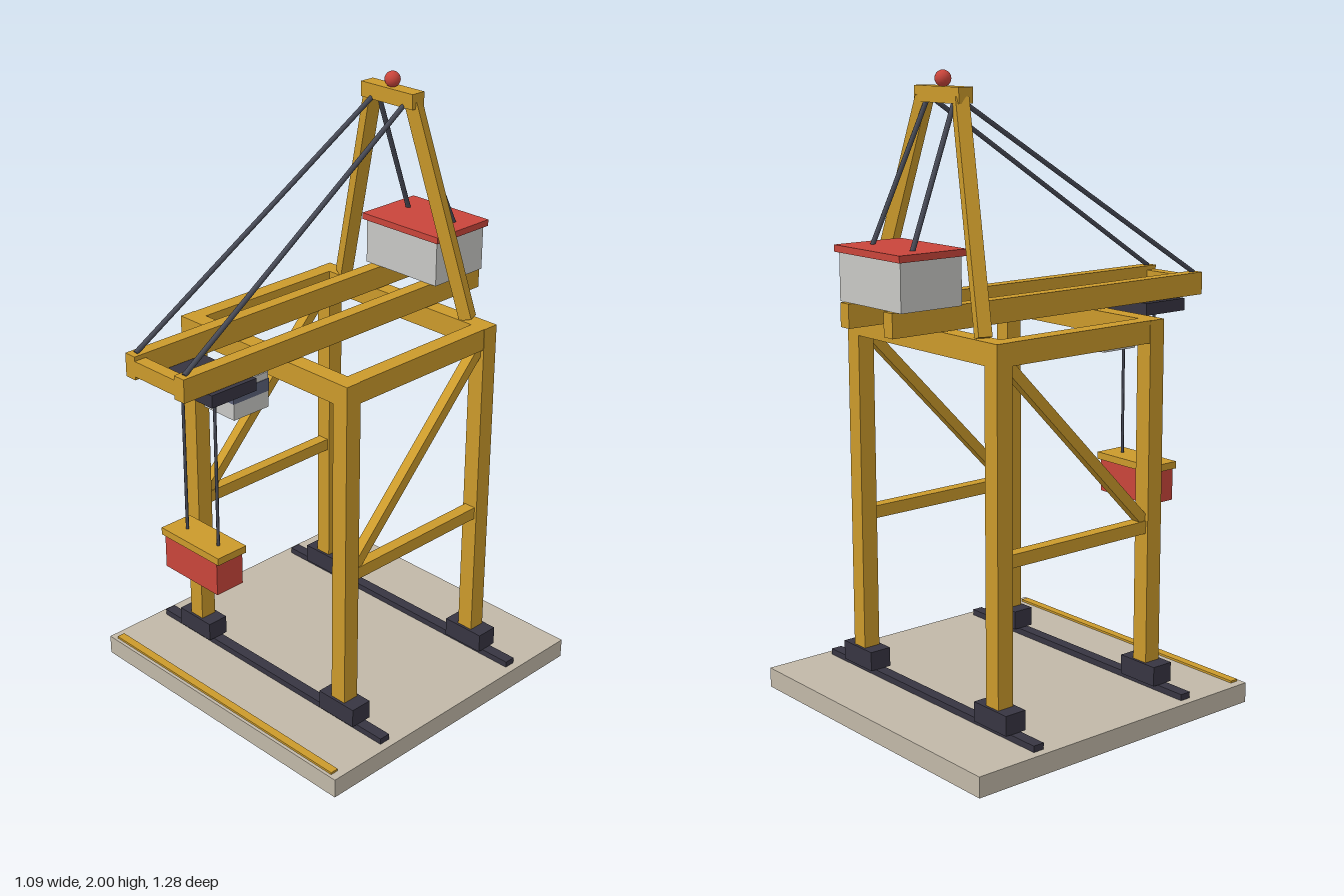
import * as THREE from 'three';

const mat = (name, color) => {
  const m = new THREE.MeshStandardMaterial({ color });
  m.name = name;
  return m;
};

export function createModel() {
  const yellow = mat('craneYellow', 0xcb9a2b);
  const red = mat('red', 0xc9453b);
  const dark = mat('darkSteel', 0x373542);
  const cable = mat('cableGrey', 0x484b57);
  const grey = mat('lightGrey', 0xc8c8c5);
  const glass = mat('windowBlue', 0x5b6078);
  const concrete = mat('concrete', 0xc1b8a8);

  const crane = new THREE.Group();
  crane.name = 'gantryCrane';

  const add = (name, geometry, material) => {
    const mesh = new THREE.Mesh(geometry, material);
    mesh.name = name;
    crane.add(mesh);
    return mesh;
  };
  // Box given by its extents on each axis
  const box = (name, material, [x0, x1], [y0, y1], [z0, z1]) => {
    const mesh = add(name, new THREE.BoxGeometry(x1 - x0, y1 - y0, z1 - z0), material);
    mesh.position.set((x0 + x1) / 2, (y0 + y1) / 2, (z0 + z1) / 2);
    return mesh;
  };
  // Bar running between two points, square or round
  const bar = (name, material, from, to, size, round = false) => {
    const a = new THREE.Vector3(...from), b = new THREE.Vector3(...to);
    const length = a.distanceTo(b);
    const geometry = round
      ? new THREE.CylinderGeometry(size, size, length, 8).rotateX(Math.PI / 2)
      : new THREE.BoxGeometry(size, size, length);
    const mesh = add(name, geometry, material);
    mesh.position.copy(a).add(b).multiplyScalar(0.5);
    mesh.lookAt(b);
    return mesh;
  };
  const around = (c, size) => [c - size / 2, c + size / 2];

  const legX = 0.341, legZ = [0.203, -0.4], legW = 0.057;

  // Quay slab with its painted safety line
  box('quaySlab', concrete, [-0.547, 0.547], [0, 0.065], [-0.643, 0.449]);
  box('safetyLine', yellow, [-0.52, 0.52], [0.065, 0.072], around(0.424, 0.028));

  // Rails, portal cross beams, bogies and legs
  for (const z of legZ) {
    box('rail', dark, [-0.52, 0.52], [0.065, 0.085], around(z, 0.038));
    box('portalCrossBeam', yellow, [-0.3125, 0.3125], [1.178, 1.248], around(z, legW));
    for (const s of [-1, 1]) {
      box('bogie', dark, around(s * legX, 0.15), [0.085, 0.148], around(z, 0.075));
      box('leg', yellow, around(s * legX, legW), [0.148, 1.248], around(z, legW));
    }
  }

  for (const s of [-1, 1]) {
    // Side frames
    box('portalSideBeam', yellow, around(s * legX, 0.053), [1.178, 1.248], [-0.372, 0.175]);
    box('sideTie', yellow, around(s * legX, 0.04), [0.573, 0.614], [-0.372, 0.175]);
    bar('sideBrace', yellow, [s * legX, 0.597, 0.19], [s * legX, 1.19, -0.385], 0.034);

    // Boom girders, tower legs and stays
    box('boomGirder', yellow, around(s * 0.109, 0.042), [1.252, 1.326], [-0.617, 0.641]);
    bar('towerLeg', yellow, [s * 0.274, 1.25, -0.4], [s * 0.085, 1.92, -0.33], 0.042);
    bar('frontStay', cable, [s * 0.066, 1.915, -0.315], [s * 0.108, 1.326, 0.62], 0.008, true);
    bar('backStay', cable, [s * 0.066, 1.915, -0.335], [s * 0.099, 1.485, -0.522], 0.008, true);

    bar('hoistRope', cable, [s * 0.072, 1.22, 0.48], [s * 0.072, 0.69, 0.48], 0.005, true);
  }
  box('boomTip', yellow, [-0.09, 0.09], [1.263, 1.312], [0.6, 0.641]);

  // Tower head and beacon
  box('towerHead', yellow, [-0.108, 0.108], [1.905, 1.953], around(-0.327, 0.052));
  add('beacon', new THREE.SphereGeometry(0.025, 16, 12), red).position.set(0, 1.975, -0.327);

  // Machinery house
  box('machineryHouse', grey, [-0.152, 0.152], [1.326, 1.475], [-0.602, -0.382]);
  box('houseRoof', red, [-0.163, 0.163], [1.473, 1.494], [-0.613, -0.371]);

  // Trolley with operator cab
  box('trolley', dark, [-0.142, 0.142], [1.21, 1.25], [0.377, 0.549]);
  box('cab', grey, [-0.067, 0.067], [1.093, 1.21], [0.262, 0.401]);
  box('cabWindows', glass, [-0.069, 0.069], [1.147, 1.188], [0.26, 0.403]);

  // Spreader and suspended container
  box('spreader', yellow, [-0.132, 0.132], [0.676, 0.7], [0.421, 0.534]);
  box('container', red, [-0.12, 0.12], [0.566, 0.676], [0.427, 0.53]);

  return crane;
}
